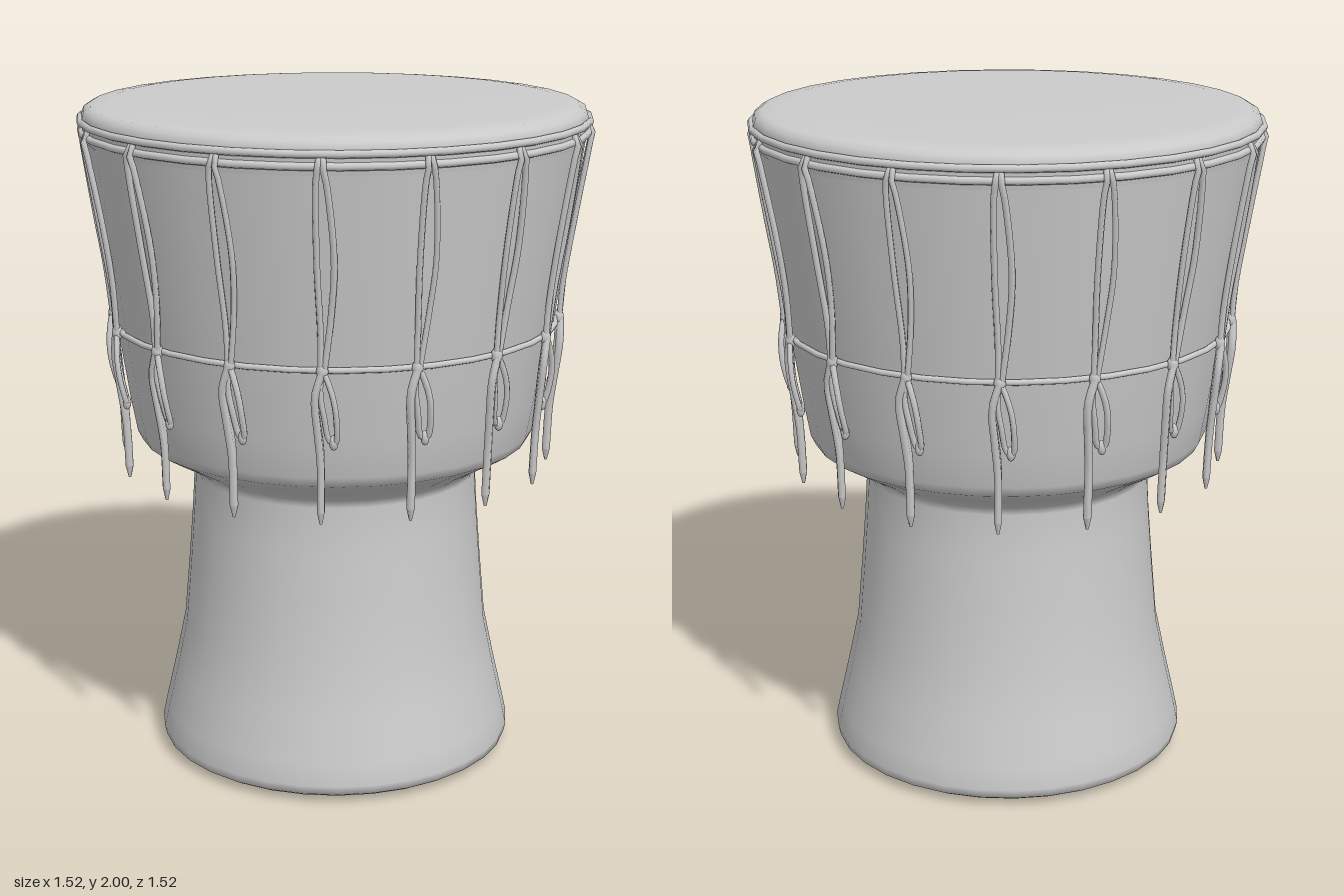
import * as THREE from 'three';

const material = new THREE.MeshStandardMaterial({ color: 0xcccccc });
const SIDES = 32;
const ROPES = 16;

function addMesh(parent, name, geometry) {
  const mesh = new THREE.Mesh(geometry, material);
  mesh.name = name;
  parent.add(mesh);
  return mesh;
}

function lathe(points) {
  return new THREE.LatheGeometry(points.map(([r, y]) => new THREE.Vector2(r, y)), SIDES);
}

function cord(points, radius, steps, closed = false) {
  const curve = new THREE.CatmullRomCurve3(points.map((p) => new THREE.Vector3(...p)), closed);
  return new THREE.TubeGeometry(curve, steps, radius, 6, closed);
}

function hoop(parent, name, radius, y, thickness) {
  const mesh = addMesh(parent, name, new THREE.TorusGeometry(radius, thickness, 8, SIDES));
  mesh.rotation.x = Math.PI / 2;
  mesh.position.y = y;
}

// One tied rope: x runs along the rim, z points outward from the drum axis
function createRope() {
  const rope = new THREE.Group();
  rope.name = 'rope';

  // Two strands wrapped over the rim hoop, meeting at the middle hoop
  addMesh(rope, 'straightStrand', cord([
    [-0.004, 1.935, 0.738], [-0.006, 1.92, 0.752], [-0.012, 1.88, 0.746],
    [-0.012, 1.65, 0.708], [-0.004, 1.45, 0.679], [-0.004, 1.34, 0.672],
  ], 0.009, 18));
  addMesh(rope, 'bowedStrand', cord([
    [0.006, 1.935, 0.738], [0.006, 1.92, 0.752], [0.016, 1.87, 0.745],
    [0.034, 1.66, 0.71], [0.024, 1.5, 0.686], [0.004, 1.34, 0.672],
  ], 0.009, 18));

  // Knot around the middle hoop
  const knot = addMesh(rope, 'knot', new THREE.SphereGeometry(1, 8, 6));
  knot.scale.set(0.017, 0.025, 0.016);
  knot.position.set(0, 1.35, 0.67);

  // Hanging bow below the knot
  addMesh(rope, 'bow', cord([
    [0, 1.35, 0.672], [0.026, 1.29, 0.68], [0.038, 1.22, 0.676], [0.034, 1.14, 0.655],
    [0.018, 1.15, 0.652], [0.004, 1.22, 0.664], [-0.006, 1.29, 0.67],
  ], 0.009, 26, true));
  const bowEnd = addMesh(rope, 'bowEnd', new THREE.SphereGeometry(1, 8, 6));
  bowEnd.scale.set(0.013, 0.022, 0.013);
  bowEnd.position.set(0.03, 1.145, 0.655);

  // Loose tail with a tapered tip
  addMesh(rope, 'innerTail', cord([
    [0, 1.35, 0.67], [-0.016, 1.25, 0.664], [-0.004, 1.12, 0.65], [-0.004, 1, 0.643],
  ], 0.009, 12));
  addMesh(rope, 'outerTail', cord([
    [0, 1.35, 0.674], [-0.02, 1.28, 0.674], [-0.014, 1.18, 0.662],
    [-0.006, 1.08, 0.65], [-0.006, 0.94, 0.644],
  ], 0.012, 14));
  const tip = addMesh(rope, 'tailTip', new THREE.CylinderGeometry(0.012, 0.004, 0.035, 6));
  tip.position.set(-0.006, 0.923, 0.644);
  return rope;
}

export function createModel() {
  const drum = new THREE.Group();
  drum.name = 'drum';

  // Goblet shell: flared foot, waist, shoulder and bowl
  addMesh(drum, 'shell', lathe([
    [0, 0], [0.3, 0.004], [0.47, 0.008], [0.515, 0.014], [0.538, 0.028], [0.544, 0.055],
    [0.53, 0.12], [0.5, 0.25], [0.468, 0.4], [0.45, 0.6], [0.438, 0.75], [0.43, 0.88],
    [0.44, 0.905], [0.475, 0.93], [0.55, 0.972], [0.588, 0.995], [0.603, 1.025],
    [0.622, 1.13], [0.655, 1.35], [0.695, 1.63], [0.734, 1.91],
  ]));

  // Skin stretched over the rim
  addMesh(drum, 'skin', lathe([
    [0.732, 1.89], [0.738, 1.92], [0.74, 1.955], [0.733, 1.978], [0.712, 1.99],
    [0.66, 1.996], [0.5, 2], [0, 2],
  ]));

  // Rim hoops and middle hoop
  hoop(drum, 'upperRimHoop', 0.743, 1.948, 0.011);
  hoop(drum, 'lowerRimHoop', 0.739, 1.915, 0.011);
  hoop(drum, 'middleHoop', 0.661, 1.35, 0.009);

  // Ropes spaced evenly around the bowl
  for (let i = 0; i < ROPES; i++) {
    const rope = createRope();
    rope.rotation.y = (i / ROPES) * Math.PI * 2 - 0.07;
    drum.add(rope);
  }
  return drum;
}
